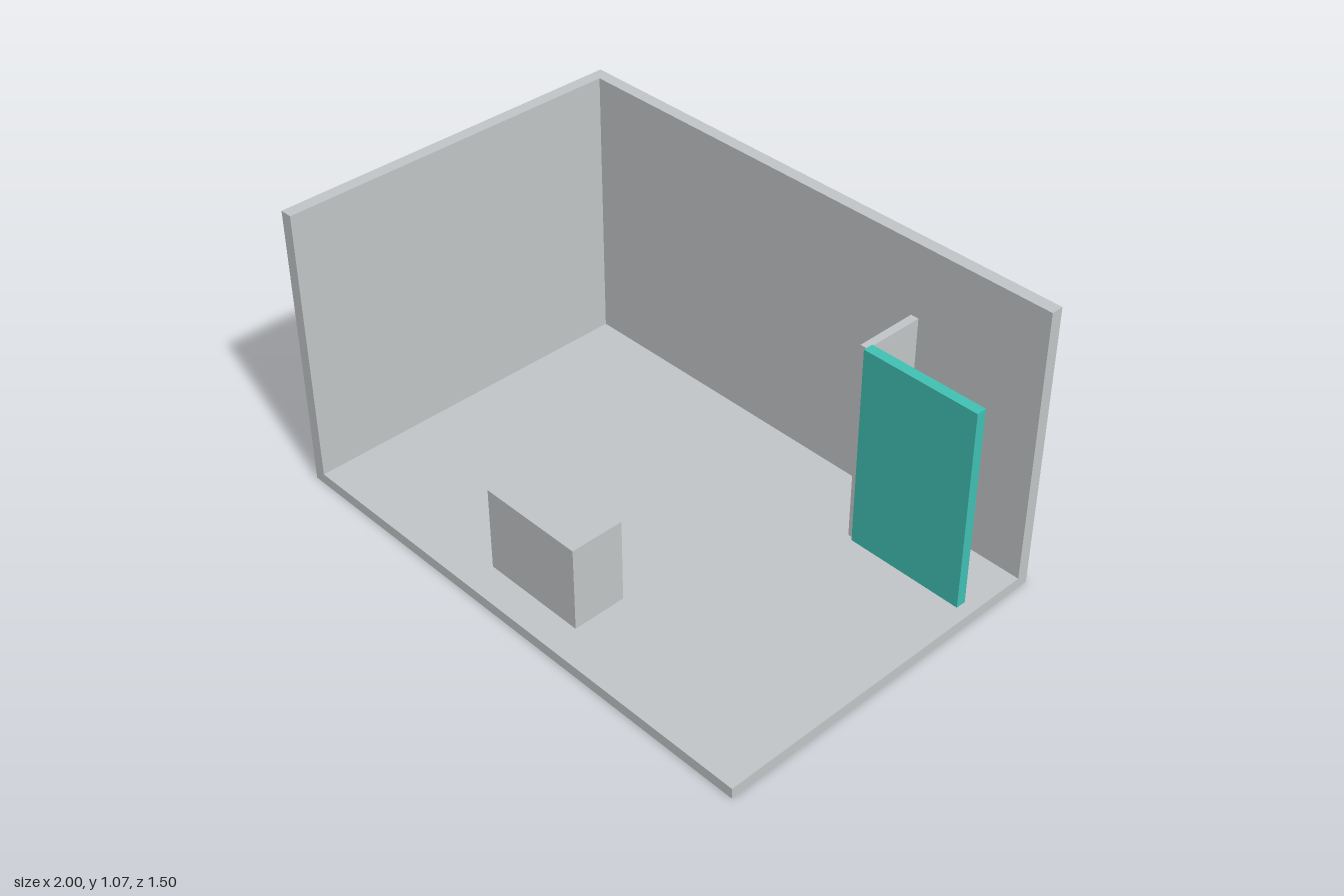
import * as THREE from 'three';

export function createModel() {
  const model = new THREE.Group();
  model.name = 'room';

  const grey = new THREE.MeshStandardMaterial({ color: 0xc3c6c8 });
  grey.name = 'light grey';
  const teal = new THREE.MeshStandardMaterial({ color: 0x40c1b4 });
  teal.name = 'teal';

  // Adds a box spanning the given [min, max] range on each axis
  function slab(name, material, [x0, x1], [y0, y1], [z0, z1]) {
    const mesh = new THREE.Mesh(new THREE.BoxGeometry(x1 - x0, y1 - y0, z1 - z0), material);
    mesh.position.set((x0 + x1) / 2, (y0 + y1) / 2, (z0 + z1) / 2);
    mesh.name = name;
    model.add(mesh);
  }

  // Room shell, open at the front and on the left; walls meet without overlapping
  slab('floor', grey, [-0.955, 1], [0, 0.04], [-0.535, 0.75]);
  slab('backWall', grey, [-1, 1], [0, 1.067], [-0.58, -0.535]);
  slab('sideWall', grey, [-1, -0.955], [0, 1.067], [-0.535, 0.75]);

  // Thin partition passing through the back wall
  slab('partition', grey, [0.482, 0.512], [0, 0.802], [-0.75, -0.302]);

  // Door panel standing across the corner, and the block on the floor
  slab('door', teal, [0.507, 0.953], [0.001, 0.803], [-0.328, -0.29]);
  slab('counter', grey, [-0.2, 0.2], [0.03, 0.357], [0.436, 0.635]);

  return model;
}
